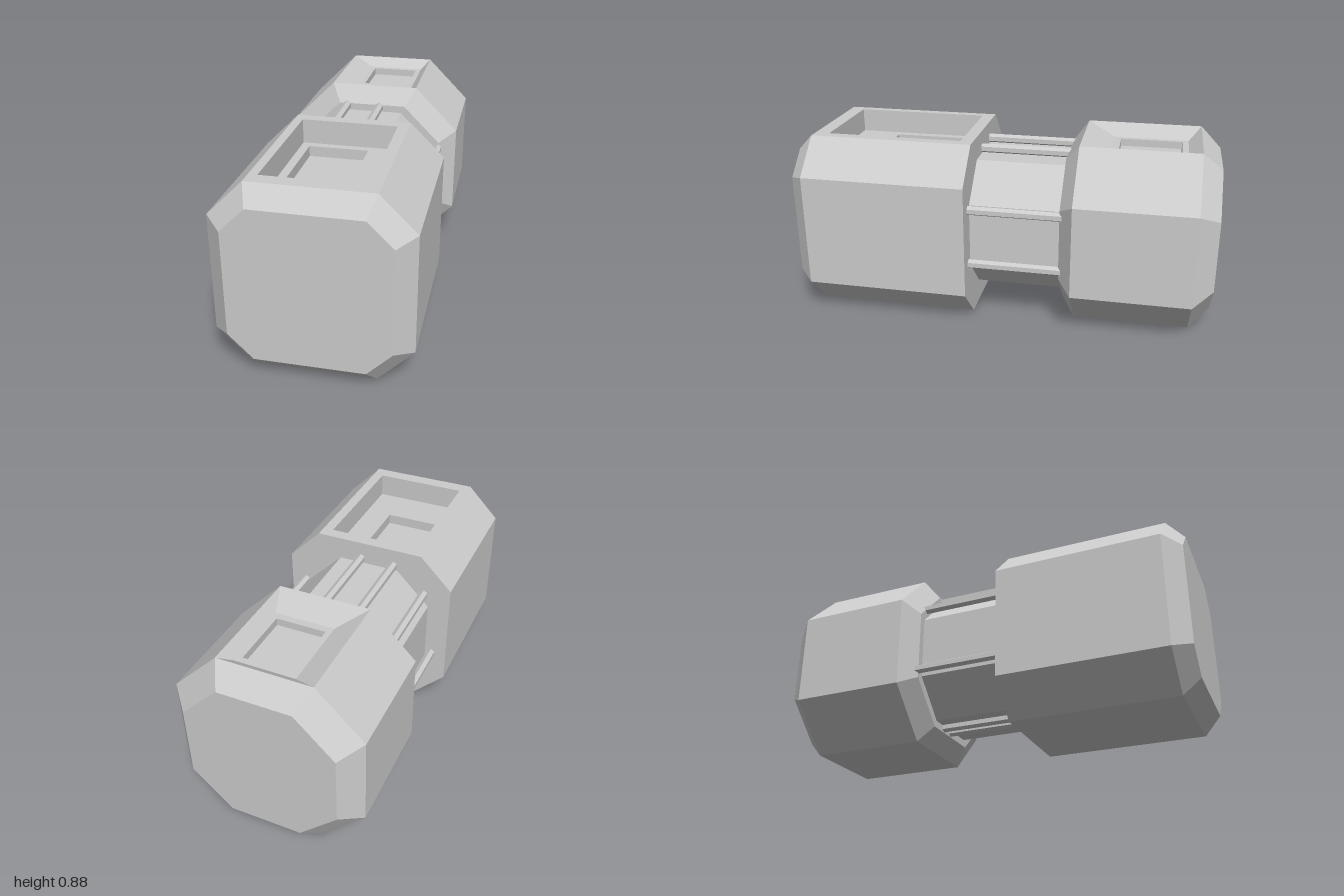
import * as THREE from 'three';

const CY = 0.4385; // height of the long axis
const material = new THREE.MeshStandardMaterial({ color: 0xcccccc, flatShading: true });

// Mesh from convex polygons, each a list of [x, y, z] corners
function polygonMesh(name, polygons) {
  const pos = [];
  for (const p of polygons)
    for (let i = 1; i < p.length - 1; i++) pos.push(...p[0], ...p[i], ...p[i + 1]);
  const geo = new THREE.BufferGeometry();
  geo.setAttribute('position', new THREE.Float32BufferAttribute(pos, 3));
  geo.computeVertexNormals();
  const mesh = new THREE.Mesh(geo, material);
  mesh.name = name;
  return mesh;
}

// Quads joining each ring of points to the next
function bridge(a, b) {
  return a.map((p, j) => {
    const k = (j + 1) % a.length;
    return [p, a[k], b[k], b[j]];
  });
}

// Octagon: h = half width, f = half length of the straight sides; side 0 is the top
function octagon([z, h, f]) {
  return [[f, h], [-f, h], [-h, f], [-h, -f], [-f, -h], [f, -h], [h, -f], [h, f]]
    .map(([x, y]) => [x, CY + y, z]);
}

// Octagonal body through sections of rising z; openSegment has no top panel
function octagonBody(name, sections, openSegment = -1) {
  const rings = sections.map(octagon);
  const polygons = [[...rings[0]].reverse(), rings[rings.length - 1]];
  for (let i = 0; i < rings.length - 1; i++) {
    const quads = bridge(rings[i], rings[i + 1]);
    polygons.push(...(i === openSegment ? quads.slice(1) : quads));
  }
  return polygonMesh(name, polygons);
}

// Stepped recess through rectangles [x0, x1, z0, z1, y], closed by the last one
function recess(name, rects) {
  const rings = rects.map(([x0, x1, z0, z1, y]) =>
    [[x0, y, z1], [x1, y, z1], [x1, y, z0], [x0, y, z0]]);
  const polygons = [rings[rings.length - 1]];
  for (let i = 0; i < rings.length - 1; i++) polygons.push(...bridge(rings[i], rings[i + 1]));
  return polygonMesh(name, polygons);
}

export function createModel() {
  const model = new THREE.Group();

  // Front block with a deep two-step recess in its top
  const frontTop = CY + 0.43;
  model.add(
    octagonBody('frontBlock', [[0.14, 0.43, 0.27], [0.92, 0.43, 0.27], [1, 0.35, 0.24]], 0),
    recess('frontBlockRecess', [
      [-0.27, 0.27, 0.14, 0.92, frontTop],
      [-0.23, 0.22, 0.2, 0.85, frontTop],
      [-0.23, 0.22, 0.2, 0.85, frontTop - 0.115],
      [-0.19, 0.09, 0.24, 0.645, frontTop - 0.115],
      [-0.19, 0.09, 0.24, 0.645, frontTop - 0.165],
    ]));

  // Rear block with a shallow sloped recess in its top
  const rearTop = CY * 2;
  model.add(
    octagonBody('rearBlock',
      [[-1, 0.35, 0.17], [-0.905, CY, 0.22], [-0.355, CY, 0.22], [-0.29, 0.355, 0.17]], 1),
    recess('rearBlockRecess', [
      [-0.22, 0.22, -0.905, -0.355, rearTop],
      [-0.11, 0.175, -0.845, -0.49, rearTop - 0.045],
      [-0.085, 0.15, -0.815, -0.525, rearTop - 0.045],
      [-0.085, 0.15, -0.815, -0.525, rearTop - 0.08],
    ]));

  // Narrow core between the blocks
  model.add(octagonBody('core', [[-0.3, 0.32, 0.152], [0.15, 0.32, 0.152]]));

  // Thin hexagonal rods around the core
  const rodGeometry = new THREE.CylinderGeometry(0.022, 0.022, 0.465, 6).rotateX(Math.PI / 2);
  const rods = new THREE.Group();
  rods.name = 'rods';
  const places = [[-0.13, 0.784], [0.04, 0.784], [0.35, 0.577], [0.35, 0.305],
    [-0.294, 0.66], [-0.352, 0.31], [0, 0.108], [-0.07, 0.108]];
  for (const [x, y] of places) {
    const rod = new THREE.Mesh(rodGeometry, material);
    rod.name = 'rod';
    rod.position.set(x, y, -0.0825);
    rods.add(rod);
  }
  model.add(rods);
  return model;
}
